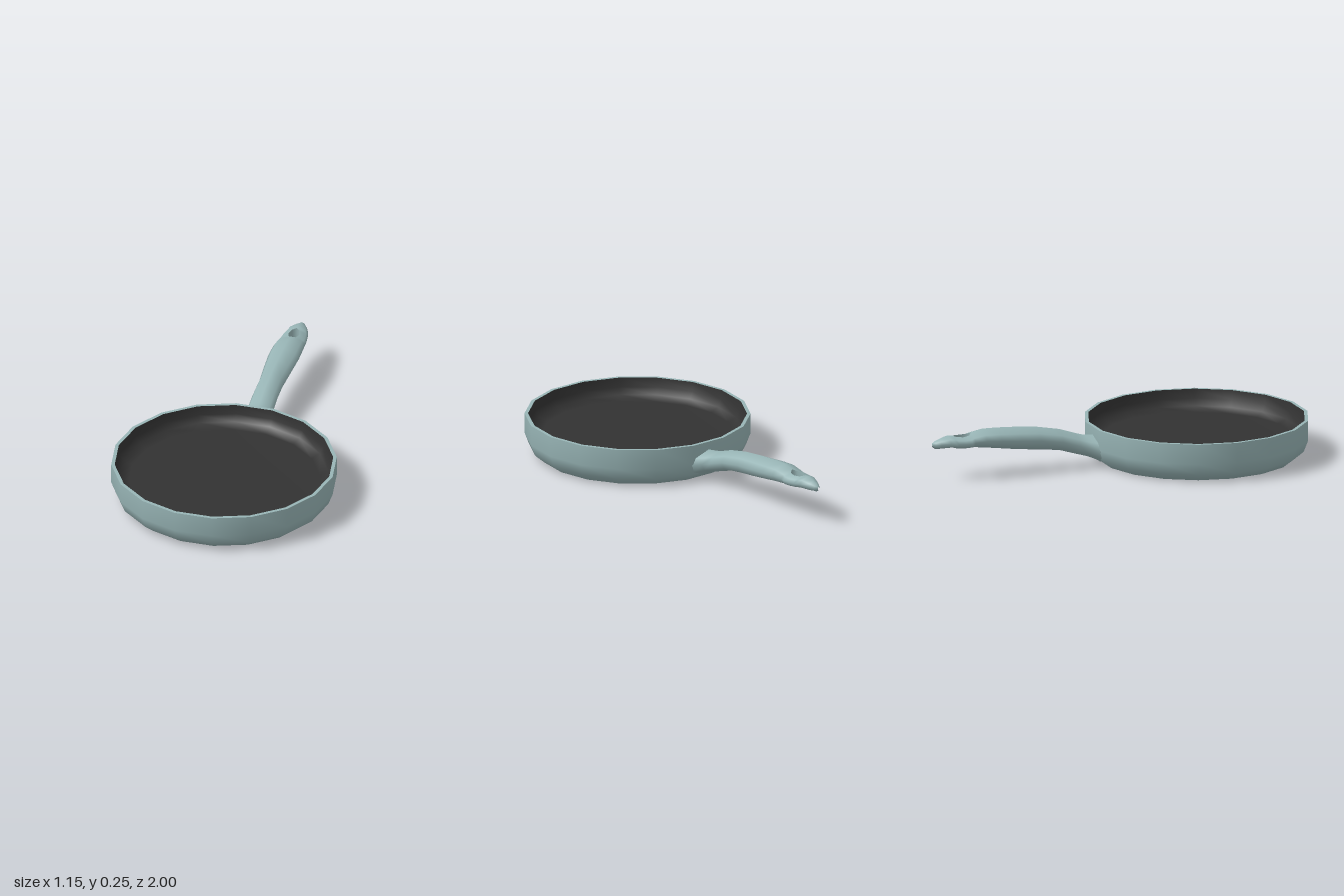
import * as THREE from 'three';
import { mergeVertices } from 'three/addons/utils/BufferGeometryUtils.js';

const SIDES = 18;
const PAN_Z = 0.436;

// Handle sections: z, half width, bottom y, top y, hole half width, forward shift of the bottom
const SECTIONS = [
  [-0.12, 0.118, 0.015, 0.162, 0, 0.035],
  [-0.138, 0.108, 0.03, 0.163, 0, 0.03],
  [-0.175, 0.078, 0.052, 0.165, 0, 0.015],
  [-0.22, 0.067, 0.07, 0.178, 0, 0],
  [-0.31, 0.065, 0.098, 0.208, 0, 0],
  [-0.43, 0.064, 0.112, 0.231, 0, 0],
  [-0.54, 0.073, 0.124, 0.242, 0, 0],
  [-0.65, 0.08, 0.14, 0.248, 0, 0],
  [-0.73, 0.078, 0.151, 0.249, 0, 0],
  [-0.79, 0.073, 0.158, 0.234, 0, 0],
  [-0.805, 0.071, 0.16, 0.225, 0.02, 0],
  [-0.84, 0.067, 0.162, 0.221, 0.029, 0],
  [-0.875, 0.062, 0.164, 0.223, 0.02, 0],
  [-0.89, 0.059, 0.165, 0.228, 0, 0],
  [-0.915, 0.052, 0.165, 0.231, 0, 0],
  [-0.96, 0.034, 0.165, 0.218, 0, 0],
  [-0.985, 0.019, 0.167, 0.208, 0, 0],
  [-1, 0.003, 0.178, 0.197, 0, 0],
];

// Half of a handle cross-section, top to bottom, as fractions of half width and half height
const ARC = [[0, 1], [0.77, 0.57], [1, 0], [0.75, -0.65], [0, -1]];

function lathe(name, points, material) {
  const profile = points.map(([r, y]) => new THREE.Vector2(r, y));
  const mesh = new THREE.Mesh(new THREE.LatheGeometry(profile, SIDES, Math.PI / SIDES), material);
  mesh.name = name;
  mesh.position.z = PAN_Z;
  return mesh;
}

// Joins rows of points, mirrored over x = 0, into one smooth surface
function mirroredSkin(rows) {
  const positions = [];
  const index = [];
  const n = rows[0].length;
  for (const side of [1, -1]) {
    const base = positions.length / 3;
    rows.forEach((row) => row.forEach(([x, y, z]) => positions.push(side * x, y, z)));
    for (let i = 0; i < rows.length - 1; i++) {
      for (let j = 0; j < n - 1; j++) {
        const a = base + i * n + j, b = a + 1, c = a + n, d = c + 1;
        if (side > 0) index.push(a, b, c, b, d, c);
        else index.push(a, c, b, b, c, d);
      }
    }
  }
  const geometry = new THREE.BufferGeometry();
  geometry.setAttribute('position', new THREE.Float32BufferAttribute(positions, 3));
  geometry.setIndex(index);
  const merged = mergeVertices(geometry, 1e-5);
  merged.computeVertexNormals();
  return merged;
}

export function createModel() {
  const enamel = new THREE.MeshStandardMaterial({ color: 0x98b5b6 });
  enamel.name = 'greyTealEnamel';
  const coating = new THREE.MeshStandardMaterial({ color: 0x323232 });
  coating.name = 'darkCoating';

  const model = new THREE.Group();
  model.name = 'fryingPan';

  // Pan body, rim and cooking surface
  model.add(
    lathe('panBody', [[0, 0], [0.502, 0], [0.55, 0.04], [0.573, 0.1], [0.573, 0.204]], enamel),
    lathe('rim', [[0.573, 0.204], [0.555, 0.204]], enamel),
    lathe('cookingSurface', [[0.555, 0.204], [0.55, 0.155], [0.53, 0.12], [0.485, 0.1], [0, 0.1]], coating),
  );

  // Handle skin: two halves that part around the hanging hole
  const skinRows = SECTIONS.map(([z, w, y0, y1, hole, shift]) => ARC.map(([u, v]) => [
    hole + (w - hole) * u,
    (y0 + y1) / 2 + ((y1 - y0) / 2) * v,
    z + (shift * (1 - v)) / 2,
  ]));
  const handle = new THREE.Group();
  handle.name = 'handle';
  const grip = new THREE.Mesh(mirroredSkin(skinRows), enamel);
  grip.name = 'grip';

  // Inner wall of the hanging hole
  const first = SECTIONS.findIndex((s) => s[4] > 0) - 1;
  const wallRows = SECTIONS.slice(first, first + 5).map(([z, , y0, y1, hole]) => [[hole, y0, z], [hole, y1, z]]);
  const holeWall = new THREE.Mesh(mirroredSkin(wallRows), enamel);
  holeWall.name = 'hangingHoleWall';

  handle.add(grip, holeWall);
  model.add(handle);
  return model;
}
